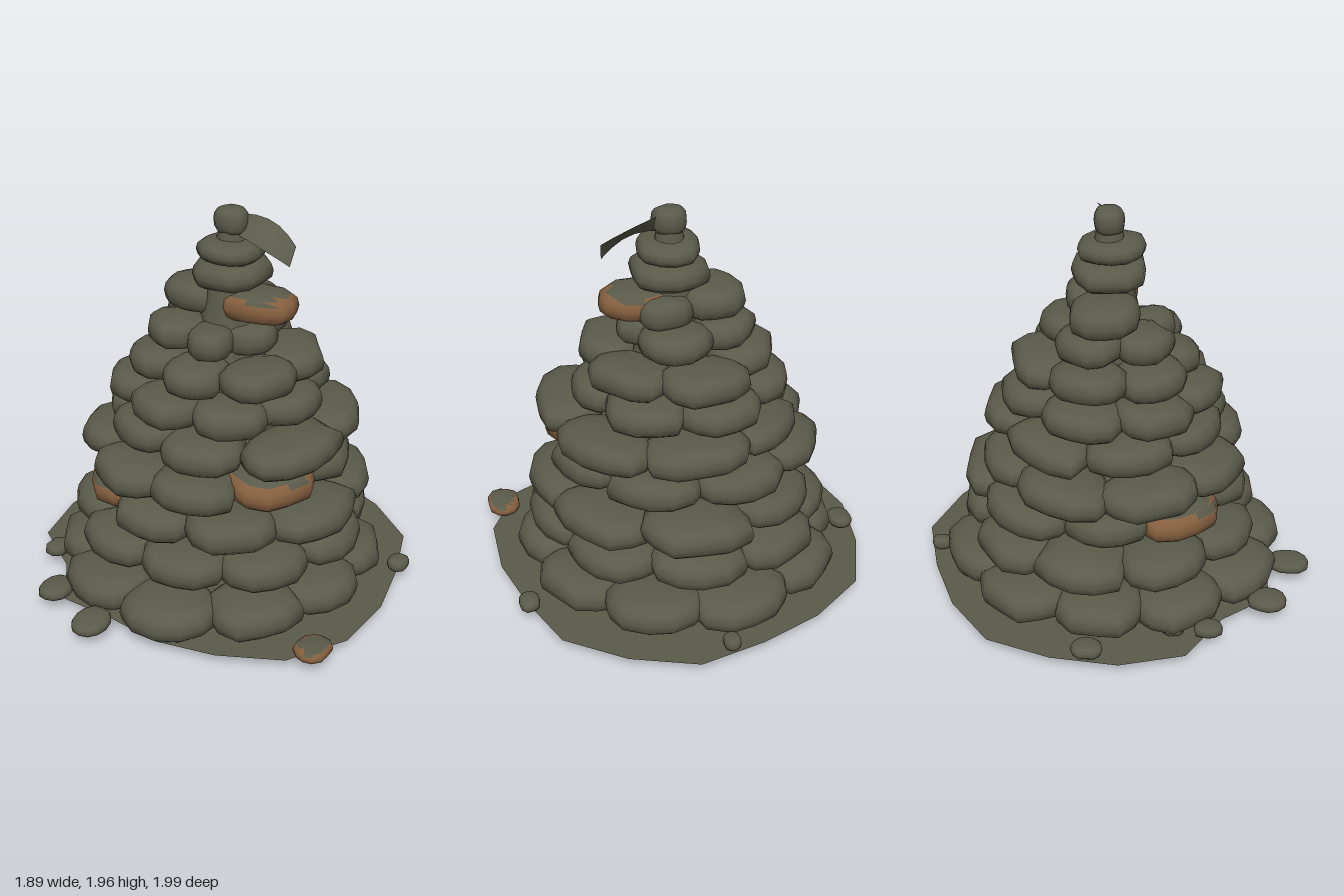
import * as THREE from 'three';
import { mergeVertices } from 'three/addons/utils/BufferGeometryUtils.js';

const stone = new THREE.MeshStandardMaterial({ color: 0x5b5b4b, side: THREE.DoubleSide });
stone.name = 'mossy grey stone';
const rust = new THREE.MeshStandardMaterial({ color: 0x86603f });
rust.name = 'rusty brown stone';

let seed = 7;
const rand = () => {
  seed = (seed * 16807) % 2147483647;
  return seed / 2147483647;
};
const vary = (amount) => (rand() * 2 - 1) * amount;

// Rounded slab with a squarish, uneven outline
function slabGeometry(hw, hh, hd, rough) {
  const sides = 12, rings = 8;
  const profile = Array.from({ length: rings + 1 }, (_, j) => {
    const a = (j / rings - 0.5) * Math.PI;
    const s = Math.sin(a);
    const r = j % rings === 0 ? 0 : Math.pow(Math.cos(a), 0.6);
    return new THREE.Vector2(r, Math.sign(s) * Math.pow(Math.abs(s), 0.75));
  });
  const geo = new THREE.LatheGeometry(profile, sides);
  const bulge = Array.from({ length: sides }, () => 1 + vary(rough));
  const lift = Array.from({ length: sides }, () => vary(0.07));
  const p = geo.attributes.position;
  for (let i = 0; i < p.count; i++) {
    const side = Math.floor(i / profile.length) % sides;
    const phi = (side / sides) * Math.PI * 2;
    const c = Math.abs(Math.cos(phi)), s = Math.abs(Math.sin(phi));
    const r = profile[i % profile.length].x;
    const reach = r * bulge[side] * Math.pow(c ** 2.6 + s ** 2.6, -1 / 2.6);
    p.setXYZ(i, reach * Math.sin(phi) * hw, (p.getY(i) + lift[side] * r) * hh,
      reach * Math.cos(phi) * hd);
  }
  geo.deleteAttribute('uv');
  geo.deleteAttribute('normal');
  const merged = mergeVertices(geo, 1e-5);
  merged.computeVertexNormals();
  return merged;
}

// Rust on the flanks, bare stone on part of the top
function paintRust(geo) {
  const out = geo.toNonIndexed();
  const p = out.attributes.position;
  geo.computeBoundingBox();
  const { min, max } = geo.boundingBox;
  for (let i = 0; i < p.count; i += 3) {
    let x = 0, y = 0;
    for (let k = 0; k < 3; k++) {
      x += p.getX(i + k) / 3;
      y += p.getY(i + k) / 3;
    }
    const height = (y - min.y) / (max.y - min.y);
    const across = x / (max.x - min.x);
    const bare = height > 0.9 || (height > 0.74 && across > -0.05 && across < 0.3);
    out.addGroup(i, 3, bare ? 0 : 1);
  }
  return out;
}

function makeStone(name, x, z, hw, hd, y0, y1, turn, rusty, rough) {
  const geo = slabGeometry(hw, (y1 - y0) / 2, hd, rough);
  const mesh = rusty ? new THREE.Mesh(paintRust(geo), [stone, rust]) : new THREE.Mesh(geo, stone);
  mesh.name = name;
  mesh.position.set(x, (y0 + y1) / 2, z);
  mesh.rotation.set(vary(0.05), turn, vary(0.05), 'YXZ');
  return mesh;
}

// Courses: bottom, stone count, first angle, reach to +x, -x, +z, -z, rusty stone
const courses = [
  [0.04, 10, 80, 0.82, 0.81, 0.85, 0.88],
  [0.25, 9, 77, 0.76, 0.75, 0.72, 0.78],
  [0.44, 8, 97, 0.75, 0.63, 0.66, 0.78, 1],
  [0.63, 8, 28, 0.66, 0.71, 0.65, 0.68, 0],
  [0.81, 7, 70, 0.71, 0.57, 0.55, 0.66],
  [0.97, 7, 102, 0.53, 0.54, 0.52, 0.57],
  [1.125, 6, 85, 0.5, 0.46, 0.4, 0.52],
  [1.27, 5, 72, 0.3, 0.37, 0.3, 0.39],
];

function makeCourses() {
  const group = new THREE.Group();
  group.name = 'stoneCourses';
  courses.forEach(([y0, count, first, right, left, front, back, rusty], row) => {
    const depth = 0.2 - row * 0.007;
    const height = 0.18 - row * 0.004;
    for (let i = 0; i < count; i++) {
      const a = THREE.MathUtils.degToRad(first + (i * 360) / count);
      const c = Math.cos(a), s = Math.sin(a);
      const r = Math.hypot(c * (c > 0 ? right : left), s * (s > 0 ? front : back)) - depth;
      const width = (Math.PI * r / count) * 1.12 + 0.01;
      const y = y0 + vary(0.012);
      group.add(makeStone('courseStone', r * c, r * s, width, depth, y, y + height,
        Math.PI / 2 - a, i === rusty, 0.07));
    }
  });
  return group;
}

// Single stones stacked at the top: x, z, half width, half depth, bottom, top, rusty
const topStones = [
  [-0.14, -0.06, 0.17, 0.17, 1.41, 1.57],
  [0.2, -0.03, 0.19, 0.14, 1.43, 1.58, true],
  [0.1, -0.15, 0.13, 0.1, 1.41, 1.56],
  [0.05, -0.035, 0.185, 0.18, 1.57, 1.71],
  [0.05, -0.025, 0.15, 0.16, 1.7, 1.81],
  [0.045, -0.035, 0.082, 0.074, 1.83, 1.96],
];

// Loose pebbles on the ground: x, z, half width, rusty
const pebbles = [
  [0, -0.92, 0.045], [0.865, -0.355, 0.055], [-0.865, -0.15, 0.065],
  [-0.71, 0.27, 0.048], [-0.72, 0.44, 0.06], [-0.5, 0.745, 0.085],
  [-0.185, 0.885, 0.092], [0.83, 0.515, 0.088, true], [-0.23, -0.74, 0.055, true],
];

// Ground radius every 20 degrees, from +x towards +z
const groundRadii = [0.94, 0.98, 0.97, 0.88, 0.83, 0.79, 0.88, 0.8, 0.94,
  0.95, 0.95, 0.99, 0.955, 0.95, 1.015, 0.995, 1, 0.93];

function makeGround() {
  const shape = new THREE.Shape(groundRadii.map((r, i) => {
    const a = (i / groundRadii.length) * Math.PI * 2;
    return new THREE.Vector2(r * Math.cos(a), -r * Math.sin(a));
  }));
  const ground = new THREE.Mesh(new THREE.ShapeGeometry(shape), stone);
  ground.name = 'ground';
  ground.rotation.x = -Math.PI / 2;
  ground.position.y = 0.05;
  return ground;
}

// Curved, drooping pennant twisted along its length
function makePennant() {
  const steps = 5;
  const geo = new THREE.PlaneGeometry(1, 1, steps, 1);
  for (let i = 0; i <= steps; i++) {
    const t = i / steps;
    const swing = 0.055 * Math.sin(Math.PI * (0.1 + 0.8 * t));
    geo.attributes.position.setXYZ(i, 0.1 + 0.28 * t, 1.93 - 0.11 * t * t, -0.04 - swing);
    geo.attributes.position.setXYZ(i + steps + 1, 0.085 + 0.285 * t, 1.835 - 0.105 * t * t, -0.035 + swing);
  }
  geo.computeVertexNormals();
  const mesh = new THREE.Mesh(geo, stone);
  mesh.name = 'pennant';
  return mesh;
}

export function createModel() {
  seed = 7;
  const model = new THREE.Group();
  model.name = 'stoneCairn';
  model.add(makeGround());

  // Open tapered core behind the stones
  const core = new THREE.Mesh(new THREE.CylinderGeometry(0.06, 0.425, 1.86, 12, 1, true), stone);
  core.name = 'core';
  core.position.set(0.045, 0.93, -0.035);
  model.add(core);

  model.add(makeCourses());
  for (const [x, z, hw, hd, y0, y1, rusty] of topStones) {
    model.add(makeStone('topStone', x, z, hw, hd, y0, y1, 0, rusty, 0.04));
  }
  for (const [x, z, r, rusty] of pebbles) {
    model.add(makeStone('pebble', x, z, r * 0.95, r * 1.15, 0.05, 0.115, 0, rusty, 0.05));
  }
  model.add(makePennant());
  return model;
}
